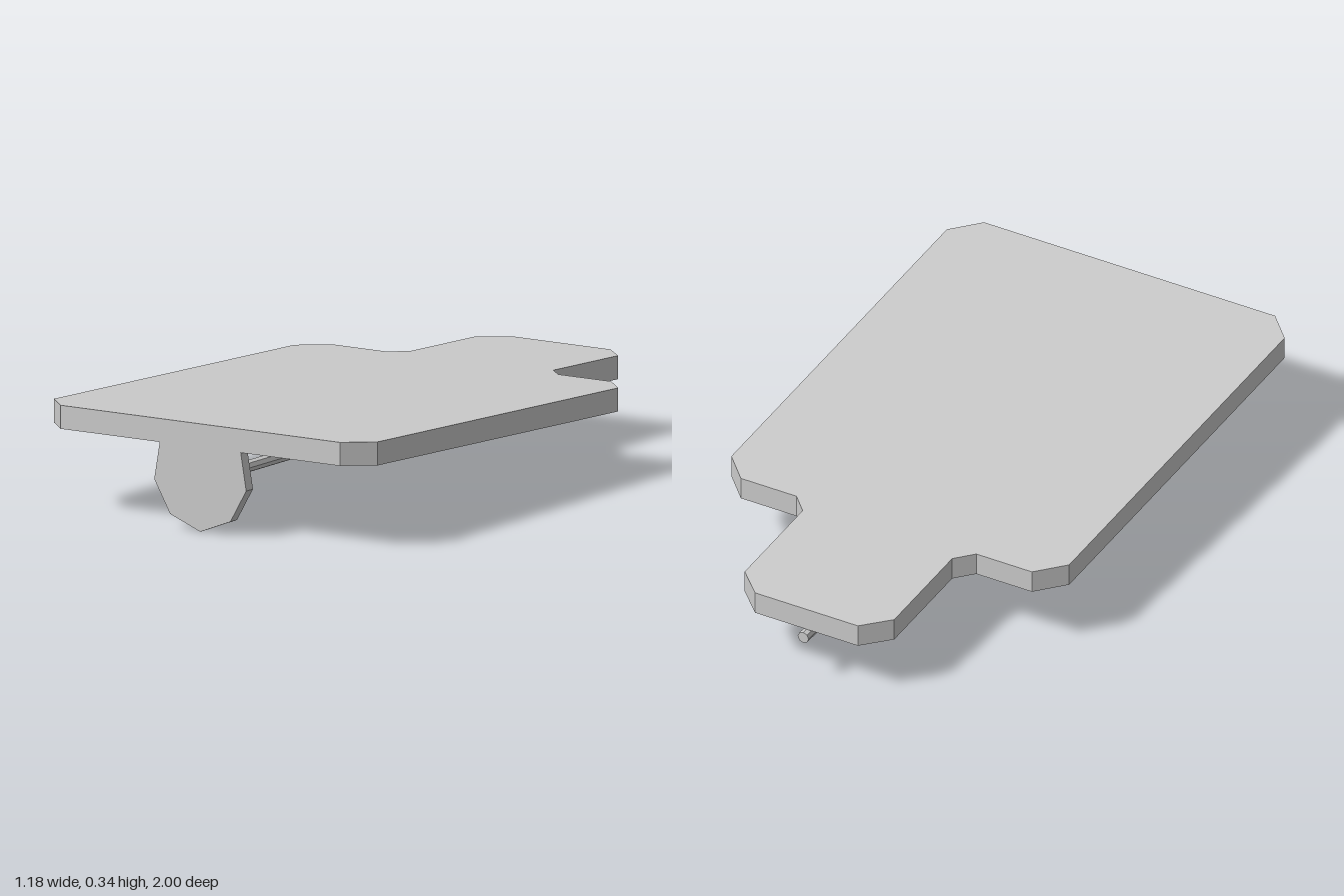
import * as THREE from 'three';

const material = new THREE.MeshStandardMaterial({ color: 0xcccccc, flatShading: true });

// Outline symmetric about x = 0, from its right-hand half
function mirroredShape(half) {
  const other = half.filter(([x]) => x !== 0).map(([x, y]) => [-x, y]).reverse();
  return new THREE.Shape([...half, ...other].map(([x, y]) => new THREE.Vector2(x, y)));
}

function addMesh(group, name, geometry) {
  const mesh = new THREE.Mesh(geometry, material);
  mesh.name = name;
  group.add(mesh);
  return mesh;
}

export function createModel() {
  const group = new THREE.Group();
  group.name = 'slopedBoard';

  // Board: chamfered plan outline (x, z), extruded downwards
  const outline = mirroredShape([
    [0.51, 1], [0.592, 0.915], [0.592, -0.405], [0.51, -0.49],
    [0.315, -0.49], [0.262, -0.545], [0.262, -0.9], [0.18, -0.98],
  ]);
  const board = new THREE.ExtrudeGeometry(outline, { depth: 0.073, bevelEnabled: false });
  board.rotateX(Math.PI / 2);
  // Shear so the board falls towards the back while its edges stay vertical
  const p = board.attributes.position;
  for (let i = 0; i < p.count; i++) p.setY(i, p.getY(i) + 0.2925 + 0.0425 * p.getZ(i));
  board.computeVertexNormals();
  addMesh(group, 'board', board);

  // Faceted plate hanging under the front edge
  const plate = new THREE.ExtrudeGeometry(
    mirroredShape([[0, 0], [0.11, 0.043], [0.168, 0.145], [0.148, 0.262]]),
    { depth: 0.037, bevelEnabled: false },
  );
  addMesh(group, 'frontPlate', plate).position.z = 0.963;

  // Thin rod running from the plate to just past the back edge
  const rod = new THREE.CylinderGeometry(0.019, 0.019, 1.963, 8);
  rod.rotateX(Math.PI / 2);
  addMesh(group, 'rod', rod).position.set(0, 0.159, -0.0185);

  return group;
}
